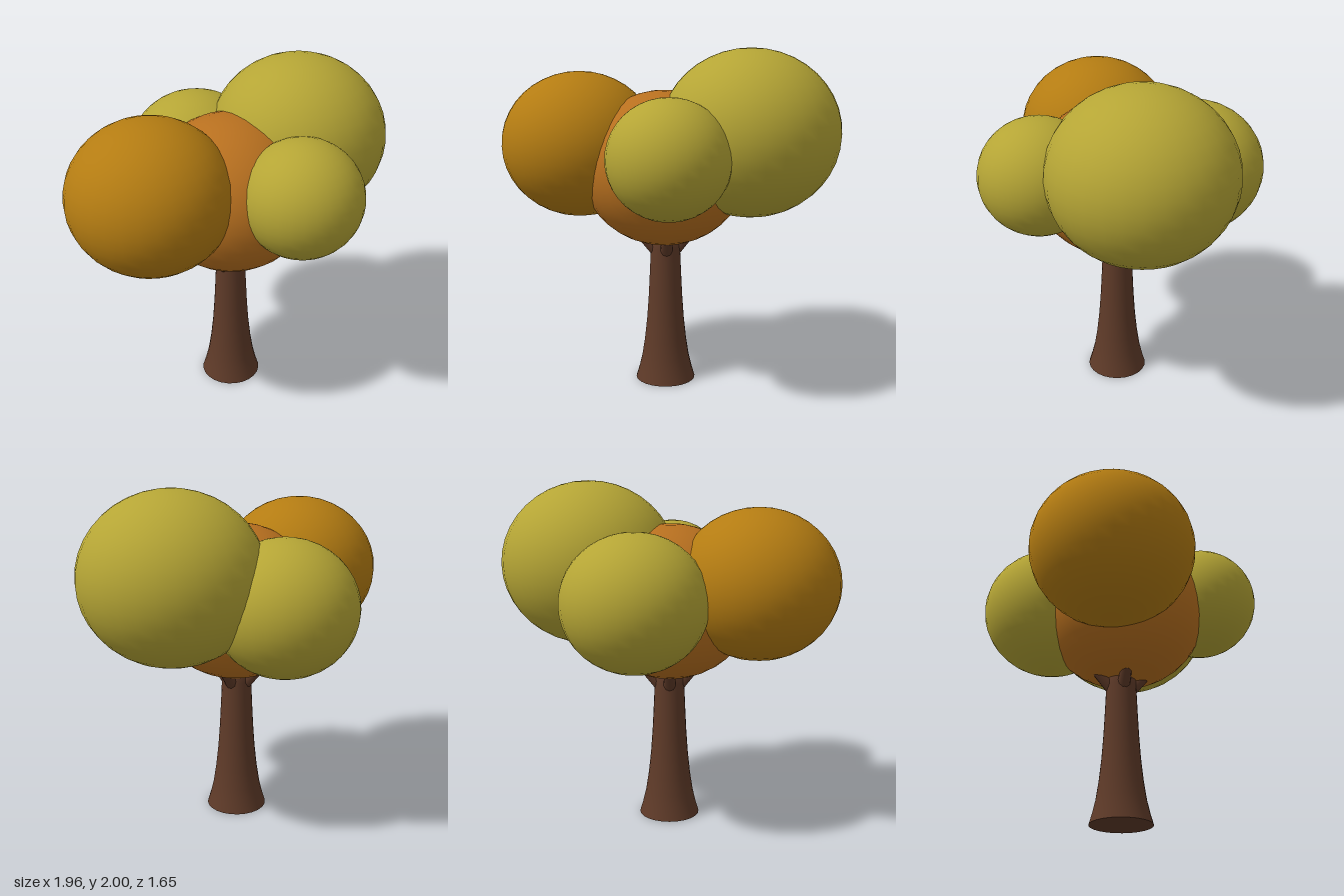
import * as THREE from 'three';

const BARK = 0x5e3a28, OLIVE = 0xb5a535, AMBER = 0xb47c12, RUST = 0xb8701f;
const CX = -0.015, CZ = -0.02; // trunk axis

function add(group, name, geometry, color) {
  const mesh = new THREE.Mesh(geometry, new THREE.MeshStandardMaterial({ color }));
  mesh.name = name;
  group.add(mesh);
  return mesh;
}

export function createModel() {
  const tree = new THREE.Group();
  tree.name = 'tree';

  // Trunk: flared at the root, tapering up into the crown
  const profile = [
    [0.18, 0], [0.162, 0.06], [0.143, 0.14], [0.126, 0.25], [0.112, 0.38],
    [0.102, 0.52], [0.094, 0.68], [0.088, 0.82], [0.084, 0.95], [0, 0.95],
  ].map(([r, y]) => new THREE.Vector2(r, y));
  add(tree, 'trunk', new THREE.LatheGeometry(profile, 24), BARK).position.set(CX, 0, CZ);

  // Closed underside of the trunk
  const base = add(tree, 'trunkBase', new THREE.CircleGeometry(0.18, 24), BARK);
  base.rotation.x = Math.PI / 2;
  base.position.set(CX, 0, CZ);

  // Four stub branches leaning outwards below the crown
  const up = new THREE.Vector3(0, 1, 0);
  for (let i = 0; i < 4; i++) {
    const a = i * Math.PI / 2;
    const dir = new THREE.Vector3(Math.cos(a), 1.15, Math.sin(a)).normalize();
    const branch = add(tree, 'branch', new THREE.CylinderGeometry(0.03, 0.04, 0.24, 10), BARK);
    branch.quaternion.setFromUnitVectors(up, dir);
    branch.position.set(CX, 0.775, CZ).addScaledVector(dir, 0.12);
    branch.position.x += Math.cos(a) * 0.03;
    branch.position.z += Math.sin(a) * 0.03;
  }

  // Foliage: slightly flattened balls [name, centre, radius, half height, colour]
  const foliage = [
    ['centreFoliage', [-0.02, 1.305, -0.01], 0.49, 0.455, RUST],
    ['leftFoliage', [0.46, 1.52, 0.127], 0.52, 0.482, OLIVE],
    ['rightFoliage', [-0.515, 1.43, -0.19], 0.467, 0.432, AMBER],
    ['frontFoliage', [-0.037, 1.42, 0.475], 0.343, 0.332, OLIVE],
    ['backFoliage', [0.18, 1.355, -0.418], 0.412, 0.387, OLIVE],
  ];
  for (const [name, centre, r, h, color] of foliage) {
    const ball = add(tree, name, new THREE.SphereGeometry(1, 32, 20), color);
    ball.scale.set(r, h, r);
    ball.position.set(...centre);
  }
  return tree;
}
